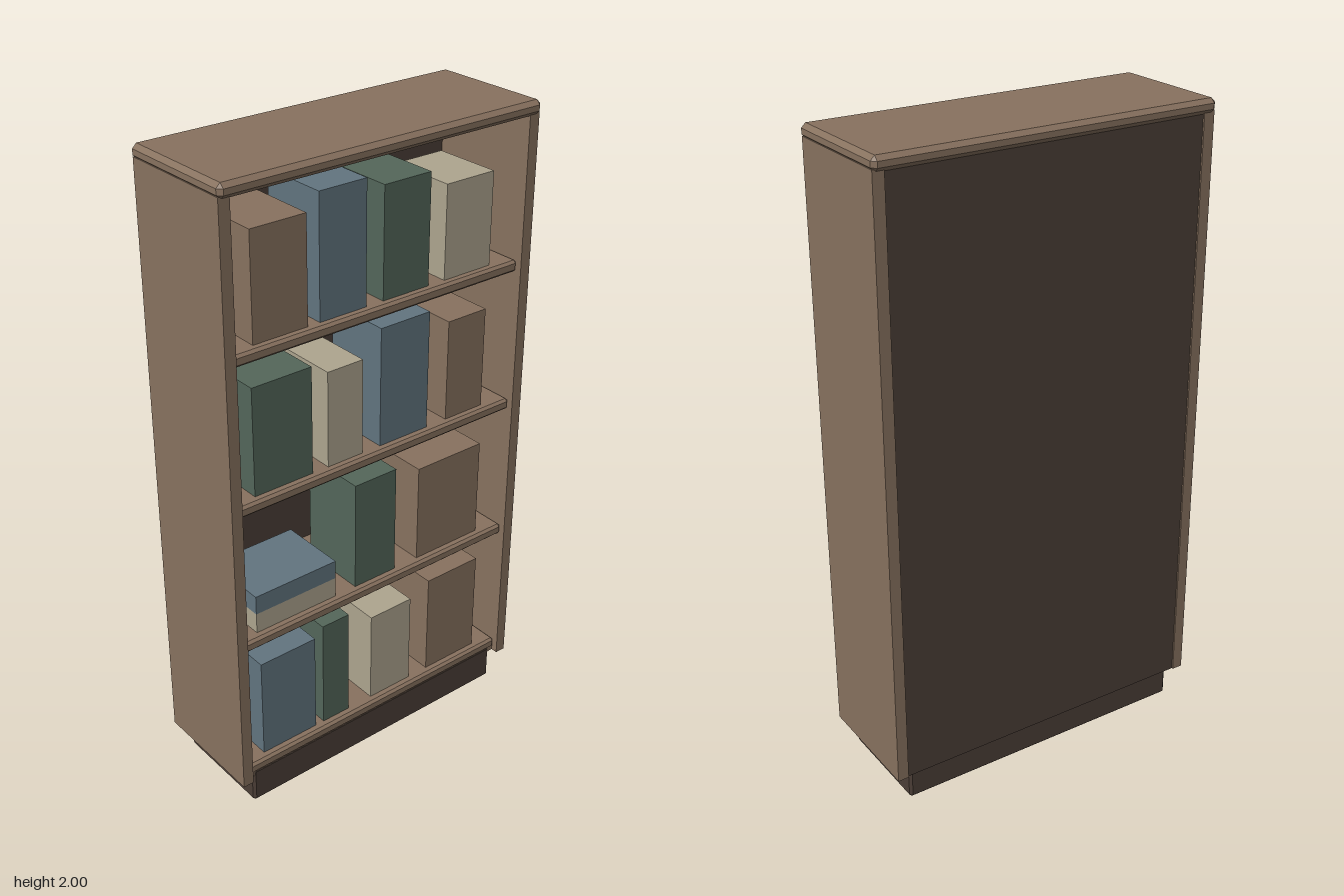
import * as THREE from 'three';
import { ConvexGeometry } from 'three/addons/geometries/ConvexGeometry.js';

const paint = (name, color) => {
  const m = new THREE.MeshStandardMaterial({ color });
  m.name = name;
  return m;
};

// Box with every edge chamfered by c
function chamferedBox(w, h, d, c) {
  const pts = [];
  for (const x of [-1, 1]) for (const y of [-1, 1]) for (const z of [-1, 1]) {
    const X = w / 2, Y = h / 2, Z = d / 2;
    pts.push(
      new THREE.Vector3(x * X, y * (Y - c), z * (Z - c)),
      new THREE.Vector3(x * (X - c), y * Y, z * (Z - c)),
      new THREE.Vector3(x * (X - c), y * (Y - c), z * Z));
  }
  return new ConvexGeometry(pts);
}

export function createModel() {
  const model = new THREE.Group();
  model.name = 'bookcase';
  const wood = paint('wood', 0x88725f);
  const dark = paint('darkWood', 0x4c3f37);
  const blue = paint('blueCover', 0x627580);
  const green = paint('greenCover', 0x54675a);
  const cream = paint('creamCover', 0xaea58f);

  // Place a block by its limits, optionally chamfered
  function block(name, mat, x0, x1, y0, y1, z0, z1, c = 0) {
    const size = [x1 - x0, y1 - y0, z1 - z0];
    const geo = c ? chamferedBox(...size, c) : new THREE.BoxGeometry(...size);
    const mesh = new THREE.Mesh(geo, mat);
    mesh.name = name;
    mesh.position.set((x0 + x1) / 2, (y0 + y1) / 2, (z0 + z1) / 2);
    model.add(mesh);
  }

  // Carcass
  block('plinth', dark, -0.49, 0.49, 0, 0.12, -0.17, 0.17, 0.008);
  block('leftSide', wood, 0.505, 0.54, 0.1, 1.965, -0.19, 0.19);
  block('rightSide', wood, -0.54, -0.505, 0.1, 1.965, -0.19, 0.19);
  block('backPanel', dark, -0.507, 0.507, 0.1, 1.965, -0.185, -0.165);
  block('topBoard', wood, -0.542, 0.542, 1.957, 2, -0.2, 0.2, 0.013);
  block('bottomBoard', wood, -0.507, 0.507, 0.1, 0.128, -0.17, 0.168);

  // Shelves
  const levels = [0.152, 0.61, 1.068, 1.525];
  for (const y of levels) block('shelf', wood, -0.505, 0.505, y - 0.036, y, -0.17, 0.175, 0.008);

  // Books on each shelf: colour, left edge, right edge, bottom, top
  const rows = [
    [[blue, -0.435, -0.235, 0, 0.335], [green, -0.205, -0.105, 0, 0.365],
      [cream, -0.015, 0.145, 0, 0.31], [wood, 0.22, 0.425, 0, 0.345]],
    [[cream, -0.445, -0.155, 0, 0.065], [blue, -0.445, -0.155, 0.065, 0.125],
      [green, -0.08, 0.075, 0, 0.355], [wood, 0.165, 0.415, 0, 0.32]],
    [[green, -0.435, -0.235, 0, 0.335], [cream, -0.18, -0.055, 0, 0.3],
      [blue, 0.01, 0.19, 0, 0.375], [wood, 0.265, 0.41, 0, 0.32]],
    [[wood, -0.425, -0.245, 0, 0.32], [blue, -0.205, -0.045, 0, 0.368],
      [green, 0.015, 0.18, 0, 0.335], [cream, 0.24, 0.415, 0, 0.285]],
  ];
  rows.forEach((row, i) => row.forEach(([mat, x0, x1, b, t]) =>
    block('book', mat, x0, x1, levels[i] + b, levels[i] + t, -0.07, 0.15)));

  return model;
}
